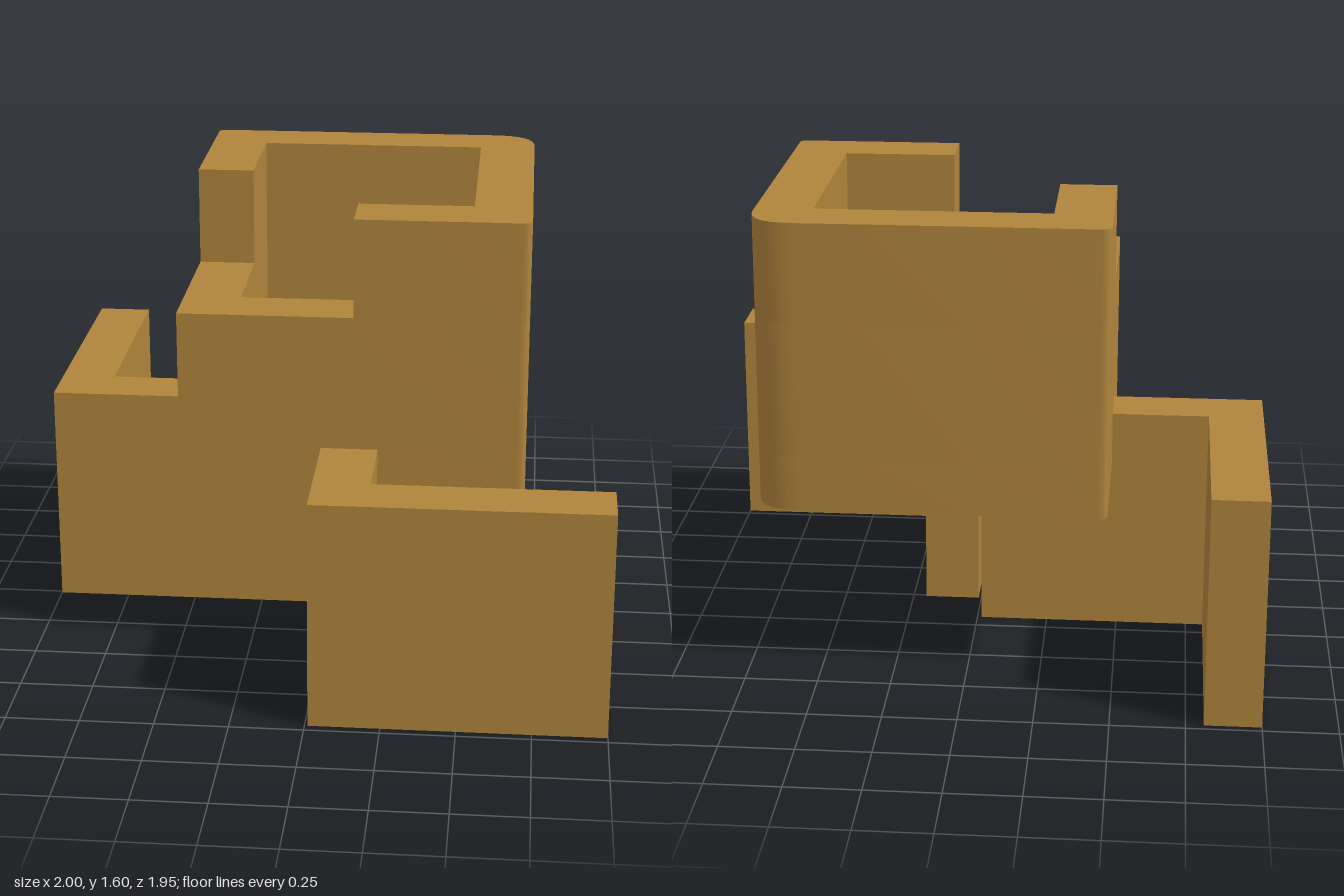
import * as THREE from 'three';
import { toCreasedNormals } from 'three/addons/utils/BufferGeometryUtils.js';

const wood = new THREE.MeshStandardMaterial({ color: 0xb0843c });
wood.name = 'ochre';

// Box plan: outer walls and inner cavity (x, z)
const L = -0.475, R = 0.705, B = -0.715, F = 0.47;
const inL = -0.28, inR = 0.51, inB = -0.525, inF = 0.275;
const cutX = 0.12, cutZ = -0.125;

// Plan path from [x, z, cornerRadius] points; z is flipped for extrusion
function plan(points, Type = THREE.Shape) {
  const path = new Type();
  const n = points.length;
  points.forEach(([x, z, r = 0], i) => {
    const p = new THREE.Vector2(x, -z);
    const [ax, az] = points[(i + n - 1) % n];
    const [bx, bz] = points[(i + 1) % n];
    const a = new THREE.Vector2(ax, -az).sub(p).setLength(r).add(p);
    const b = new THREE.Vector2(bx, -bz).sub(p).setLength(r).add(p);
    if (i === 0) path.moveTo(a.x, a.y);
    else path.lineTo(a.x, a.y);
    if (r > 0) path.quadraticCurveTo(p.x, p.y, b.x, b.y);
  });
  path.closePath();
  return path;
}

// Vertical slab of a plan between two heights
function slab(name, shape, y0, y1) {
  const geo = new THREE.ExtrudeGeometry(shape, { depth: y1 - y0, bevelEnabled: false, curveSegments: 8 });
  geo.rotateX(-Math.PI / 2).translate(0, y0, 0);
  const mesh = new THREE.Mesh(toCreasedNormals(geo, 0.6), wood);
  mesh.name = name;
  return mesh;
}

export function createModel() {
  const model = new THREE.Group();
  model.name = 'cornerBoxOnBrackets';

  // Box: one broad rounded corner at the back, small ones beside it
  const outline = [[L, F], [R, F, 0.03], [R, B, 0.15], [L, B, 0.03]];
  const box = new THREE.Group();
  box.name = 'box';
  box.add(slab('boxFloor', plan(outline), 0.61, 0.8));

  const lower = plan(outline);
  lower.holes.push(plan([[inL, inF], [inL, inB], [inR, inB], [inR, inF]], THREE.Path));
  box.add(slab('lowerWalls', lower, 0.8, 1.26));

  // Upper walls leave the front corner open
  const upper = plan([
    [cutX, F], [R, F, 0.03], [R, B, 0.15], [L, B, 0.03], [L, cutZ],
    [inL, cutZ], [inL, inB], [inR, inB], [inR, inF], [cutX, inF],
  ]);
  box.add(slab('upperWalls', upper, 1.26, 1.6));
  model.add(box);

  // Two L-shaped brackets carrying the box
  model.add(slab('sideBracket', plan([
    [-1, 0.01], [-0.015, 0.01], [-0.015, -0.18], [-0.81, -0.18], [-0.81, -0.975], [-1, -0.975],
  ]), 0, 0.793));
  model.add(slab('frontBracket', plan([
    [0.01, 0.97], [1, 0.97], [1, 0.777], [0.203, 0.777], [0.203, -0.01], [0.01, -0.01],
  ]), 0, 0.793));

  return model;
}
